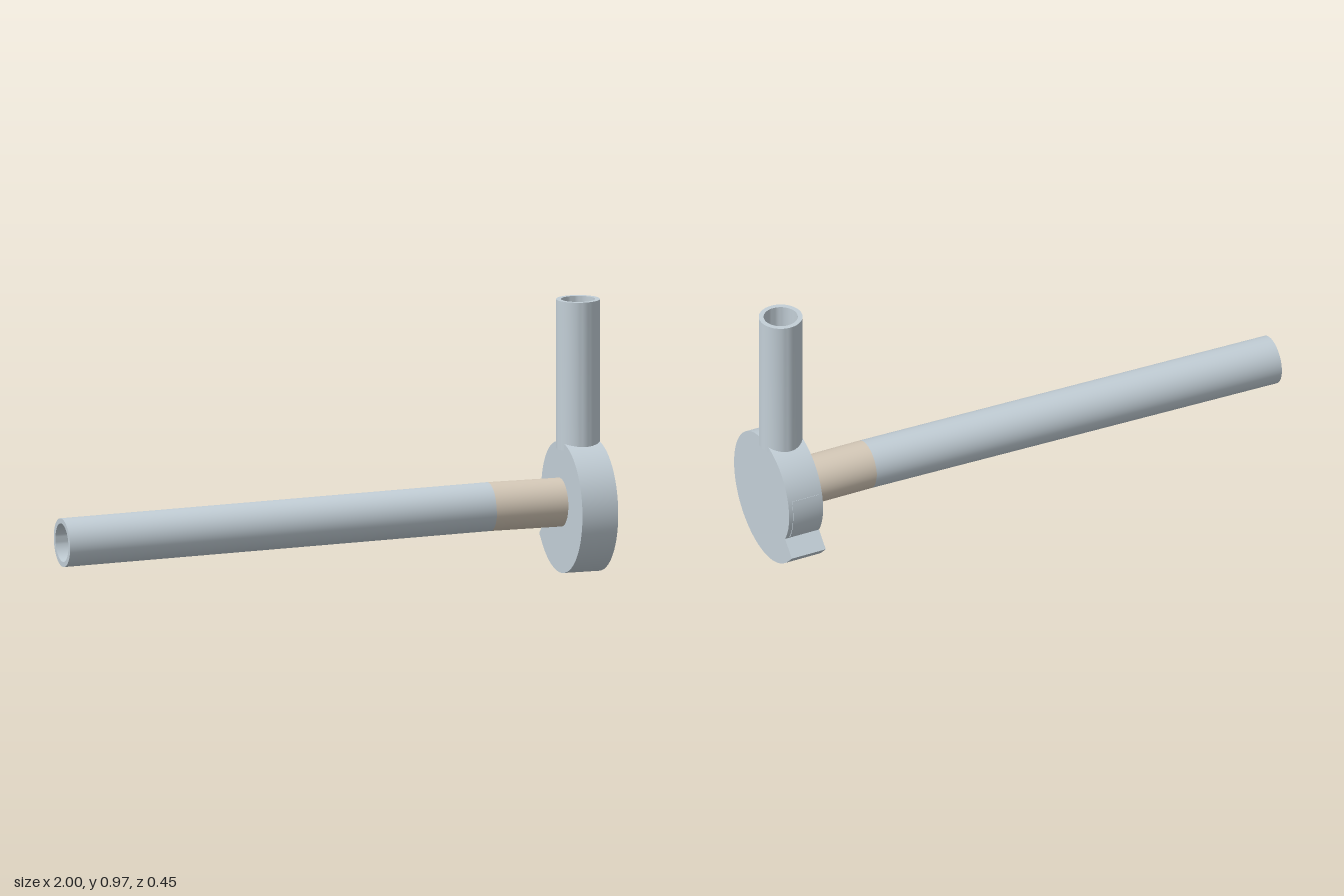
import * as THREE from 'three';
import { toCreasedNormals } from 'three/addons/utils/BufferGeometryUtils.js';

const AXIS_Y = 0.25, AXIS_Z = -0.005;

// Open-ended hollow pipe along y, starting at y = 0
function pipeGeometry(outer, inner, length) {
  const pts = [[inner, 0], [outer, 0], [outer, length], [inner, length], [inner, 0]];
  const geo = new THREE.LatheGeometry(pts.map(([r, y]) => new THREE.Vector2(r, y)), 48);
  return toCreasedNormals(geo, 0.6);
}

// Point on the slowly growing spiral of the casing (degrees)
function spiral(deg, extra = 0) {
  const r = 0.1985 + 0.000195 * deg + extra;
  const a = THREE.MathUtils.degToRad(deg);
  return new THREE.Vector2(-AXIS_Z + r * Math.cos(a), AXIS_Y + r * Math.sin(a));
}

function arc(from, to, steps, extra = 0) {
  return Array.from({ length: steps + 1 }, (_, i) => spiral(from + ((to - from) * i) / steps, extra));
}

// Extrudes a side outline between two x positions
function sidePlate(points, x0, x1) {
  const geo = new THREE.ExtrudeGeometry(new THREE.Shape(points), { depth: x1 - x0, bevelEnabled: false });
  geo.rotateY(Math.PI / 2);
  geo.translate(x0, 0, 0);
  return toCreasedNormals(geo, 0.4);
}

export function createModel() {
  const model = new THREE.Group();
  const grey = new THREE.MeshStandardMaterial({ color: 0xc3cfd7 });
  grey.name = 'pale grey';
  const beige = new THREE.MeshStandardMaterial({ color: 0xd6cab9 });
  beige.name = 'beige';

  const add = (name, geo, mat) => {
    const mesh = new THREE.Mesh(geo, mat);
    mesh.name = name;
    model.add(mesh);
    return mesh;
  };

  // Scroll casing with its stepped lip
  const outline = [...arc(-30, 316, 80), new THREE.Vector2(0.225, 0.102)];
  add('scrollCasing', sidePlate(outline, 0.855, 0.988), grey);

  // Thin panel on the rim above the lip
  const panel = [...arc(-27, 20, 12, 0.003), ...arc(20, -27, 12, -0.004)];
  add('rimPanel', sidePlate(panel, 0.87, 0.973), grey);

  // Upright pipe
  add('uprightPipe', pipeGeometry(0.077, 0.06, 0.53), grey).position.set(0.921, 0.44, -0.003);

  // Level collar between the casing and the long pipe
  const collar = add('collar', pipeGeometry(0.086, 0.068, 0.27), beige);
  collar.position.set(0.858, AXIS_Y, AXIS_Z);
  collar.rotation.z = Math.PI / 2;

  // Long pipe, drooping slightly toward its open end
  const start = new THREE.Vector3(0.59, AXIS_Y, AXIS_Z);
  const end = new THREE.Vector3(-0.998, 0.218, AXIS_Z);
  const run = end.clone().sub(start);
  const longPipe = add('longPipe', pipeGeometry(0.086, 0.068, run.length()), grey);
  longPipe.position.copy(start);
  longPipe.quaternion.setFromUnitVectors(new THREE.Vector3(0, 1, 0), run.normalize());

  return model;
}
